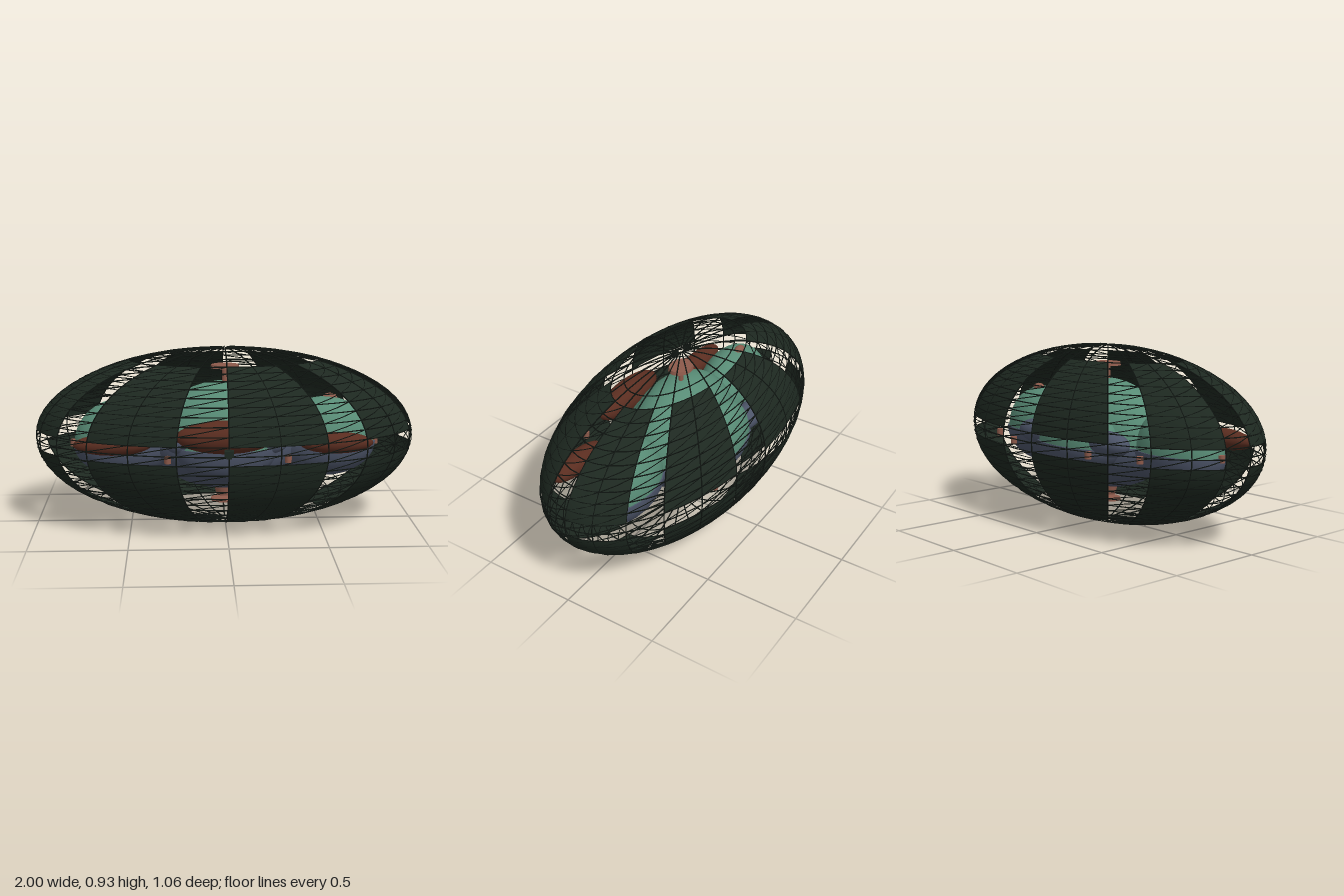
import * as THREE from 'three';
import { mergeGeometries } from 'three/addons/utils/BufferGeometryUtils.js';

const RX = 0.996, RY = 0.463, RZ = 0.513;   // shell half sizes
const CY = 0.467, CZ = -0.013;              // shell centre
const ROWS = 30, COLS = 24;

const colour = (name, hex, side = THREE.FrontSide) => {
  const m = new THREE.MeshStandardMaterial({ color: hex, side });
  m.name = name;
  return m;
};

export function createModel() {
  const panelGreen = colour('dark panel green', 0x1d2820, THREE.DoubleSide);
  const wireBlack = colour('wire black', 0x101612);
  const seaGreen = colour('sea green', 0x588c76);
  const slate = colour('slate blue', 0x4c5468);
  const brick = colour('brick', 0x8d5a4b);
  const rust = colour('rust brown', 0x5a2d20);

  const model = new THREE.Group();
  model.name = 'latticeCapsule';
  const add = (name, geometry, material, x = 0, y = 0, z = 0) => {
    const mesh = new THREE.Mesh(geometry, material);
    mesh.name = name;
    mesh.position.set(x, y, z);
    model.add(mesh);
    return mesh;
  };

  // Point on the shell for a row and column of the lattice, open at the poles
  const point = (row, col) => {
    const polar = THREE.MathUtils.clamp(row / ROWS * Math.PI, 0.02, Math.PI - 0.02);
    const a = col / COLS * Math.PI * 2;
    return new THREE.Vector3(
      RX * Math.sin(polar) * Math.cos(a),
      RY * Math.cos(polar),
      RZ * Math.sin(polar) * Math.sin(a));
  };

  // Thin three-sided rod between two points
  const up = new THREE.Vector3(0, 1, 0);
  const rod = (a, b, r) => {
    const d = b.clone().sub(a);
    const g = new THREE.CylinderGeometry(r, r, d.length(), 3, 1, true);
    g.applyQuaternion(new THREE.Quaternion().setFromUnitVectors(up, d.normalize()));
    g.translate((a.x + b.x) / 2, (a.y + b.y) / 2, (a.z + b.z) / 2);
    return g;
  };

  // Lattice: meridians to the poles, rings and diagonals between the caps
  const rods = [];
  for (let r = 0; r < ROWS; r++) {
    for (let c = 0; c < COLS; c++) {
      rods.push(rod(point(r, c), point(r + 1, c), 0.004));
      for (const h of [0, 0.5]) {
        if (r >= 4 && r <= ROWS - 4) rods.push(rod(point(r, c + h), point(r, c + h + 0.5), 0.0035));
        if (r >= 5 && r < ROWS - 5) rods.push(rod(point(r + h, c + h), point(r + h + 0.5, c + h + 0.5), 0.0028));
      }
    }
  }
  add('wireLattice', mergeGeometries(rods), wireBlack, 0, CY, CZ);

  // Eight curved panels above and eight below the open waist
  const deg = Math.PI / 180;
  for (let k = 0; k < 8; k++) {
    for (const [name, start] of [['upperPanel', 30], ['lowerPanel', 96]]) {
      const g = new THREE.SphereGeometry(1, 8, 18, k * 45 * deg, 30 * deg, start * deg, 54 * deg);
      g.scale(RX, RY, RZ);
      add(name, g, panelGreen, 0, CY, CZ);
    }
  }

  // Rounded pod: green upper half, slate lower half
  const SPLIT = 0.43;
  const pod = (name, x, z, rx, rTop, rBottom, rz) => {
    const top = new THREE.SphereGeometry(1, 24, 10, 0, Math.PI * 2, 0, Math.PI / 2);
    top.scale(rx, rTop, rz);
    add(name + 'Top', top, seaGreen, x, SPLIT, z);
    const bottom = new THREE.SphereGeometry(1, 24, 10, 0, Math.PI * 2, Math.PI / 2, Math.PI / 2);
    bottom.scale(rx * 1.04, rBottom, rz * 1.04);
    add(name + 'Bottom', bottom, slate, x, SPLIT, z);
    const rim = new THREE.CylinderGeometry(1, 1, 0.004, 24);
    rim.scale(rx * 1.04, 1, rz * 1.04);
    add(name + 'Rim', rim, slate, x, SPLIT, z);
  };
  pod('centralPod', 0, CZ, 0.38, 0.325, 0.25, 0.245);
  for (const s of [1, -1]) pod('sidePod', s * 0.53, CZ, 0.265, 0.235, 0.19, 0.165);
  pod('rearPod', 0, -0.22, 0.28, 0.22, 0.15, 0.14);
  pod('frontPod', 0, 0.15, 0.26, 0.18, 0.18, 0.11);

  // Cap on a thin stem above, nozzle below
  const disc = (name, rTop, rBottom, h, y) => {
    const g = new THREE.CylinderGeometry(rTop, rBottom, h, 16);
    g.scale(1, 1, 0.8);
    add(name, g, brick, 0, y, CZ);
  };
  disc('topCap', 0.072, 0.077, 0.018, 0.832);
  disc('topStem', 0.014, 0.014, 0.08, 0.79);
  disc('bottomNozzle', 0.06, 0.045, 0.06, 0.165);
  disc('bottomDisc', 0.075, 0.075, 0.014, 0.11);

  // Flattened round bodies: three rust ones at the front, four slate ones around the pods
  const body = (name, material, x, y, z, rx, ry, rz) => {
    const g = new THREE.SphereGeometry(1, 20, 14);
    g.scale(rx, ry, rz);
    add(name, g, material, x, y, z);
  };
  body('frontBody', rust, -0.58, 0.475, 0.245, 0.2, 0.055, 0.06);
  body('frontBody', rust, 0.56, 0.475, 0.245, 0.19, 0.055, 0.06);
  body('frontBody', rust, -0.01, 0.53, 0.335, 0.25, 0.085, 0.08);
  for (const s of [1, -1]) {
    body('rearSlateBody', slate, s * 0.28, 0.465, -0.26, 0.14, 0.065, 0.07);
    body('frontSlateBody', slate, s * 0.21, 0.46, 0.17, 0.11, 0.06, 0.045);
  }

  // Small pegs around the waist
  for (const s of [1, -1]) {
    for (const [x, z] of [[0.3, 0.39], [0.3, -0.41], [0.56, -0.31], [0.8, 0]]) {
      add('peg', new THREE.CylinderGeometry(0.017, 0.017, 0.036, 8), brick, s * x, 0.43, z);
    }
    body('podKnob', brick, s * 0.56, 0.655, -0.035, 0.04, 0.025, 0.025);
  }

  // Latch on the front of the shell
  add('frontLatch', new THREE.BoxGeometry(0.045, 0.028, 0.035), panelGreen, 0, 0.49, 0.51);
  add('frontLatchBar', new THREE.BoxGeometry(0.025, 0.045, 0.015), panelGreen, 0, 0.485, 0.506);

  return model;
}
